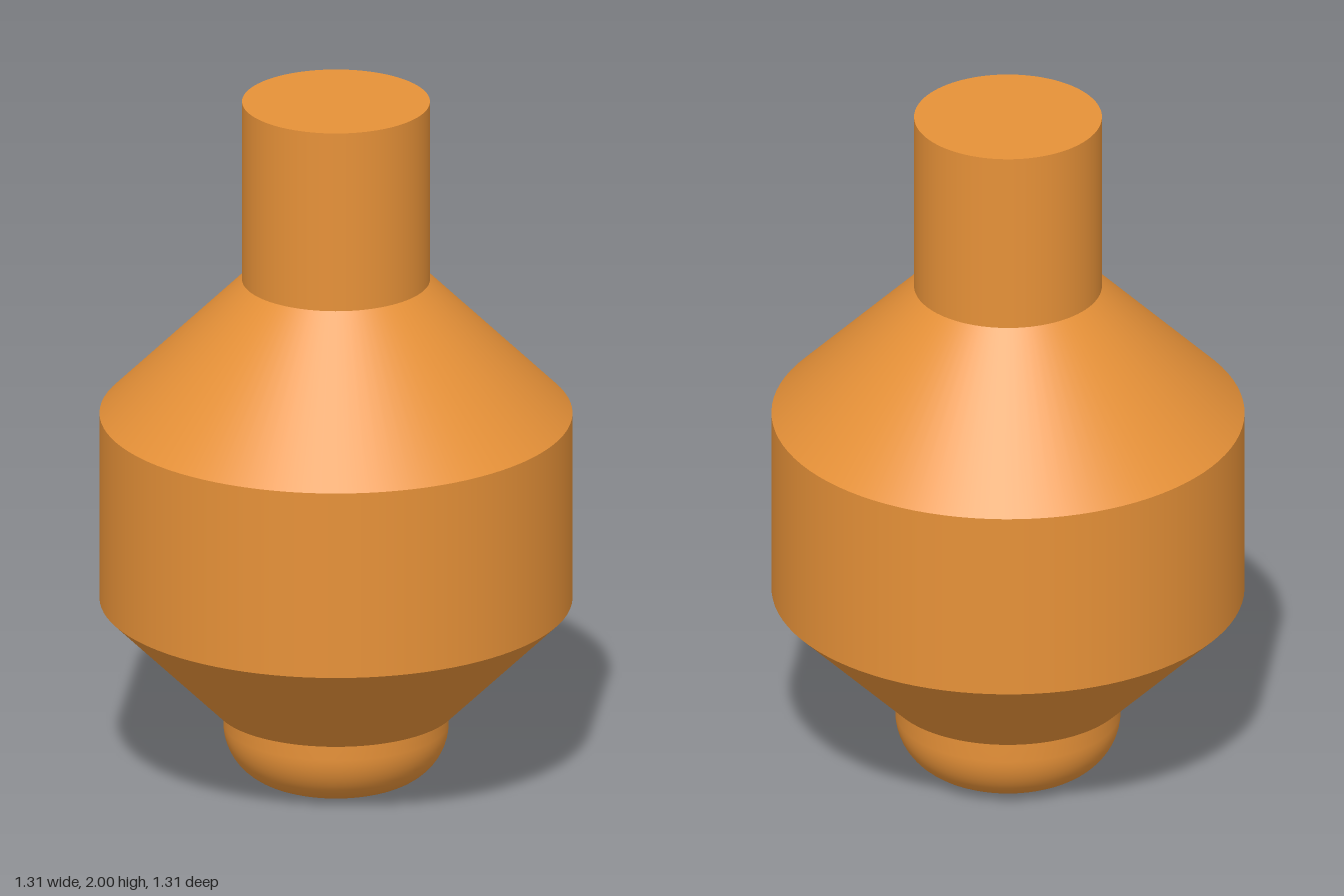
import * as THREE from 'three';

const SEGMENTS = 96;

export function createModel() {
  const group = new THREE.Group();
  const material = new THREE.MeshStandardMaterial({ color: 0xe69138 });

  const add = (name, geometry) => {
    const mesh = new THREE.Mesh(geometry, material);
    mesh.name = name;
    group.add(mesh);
    return mesh;
  };

  // Stacked round sections: name, bottom y, top y, bottom radius, top radius, capped
  const sections = [
    ['lowerCone', 0.215, 0.535, 0.335, 0.657, true],
    ['body', 0.535, 1.08, 0.657, 0.657, false],
    ['shoulder', 1.08, 1.475, 0.657, 0.261, false],
    ['neck', 1.475, 2, 0.261, 0.261, true],
  ];
  for (const [name, y0, y1, r0, r1, capped] of sections) {
    const geometry = new THREE.CylinderGeometry(r1, r0, y1 - y0, SEGMENTS, 1, !capped);
    add(name, geometry).position.y = (y0 + y1) / 2;
  }

  // Rounded foot, set slightly towards the back
  const radius = 0.313, fillet = 0.16;
  const profile = [new THREE.Vector2(0, 0)];
  for (let i = 0; i <= 14; i++) {
    const a = (i / 14) * Math.PI / 2;
    profile.push(new THREE.Vector2(
      radius - fillet + fillet * Math.sin(a),
      fillet * (1 - Math.cos(a))
    ));
  }
  profile.push(new THREE.Vector2(radius, 0.216));
  add('foot', new THREE.LatheGeometry(profile, SEGMENTS)).position.z = -0.018;

  return group;
}
